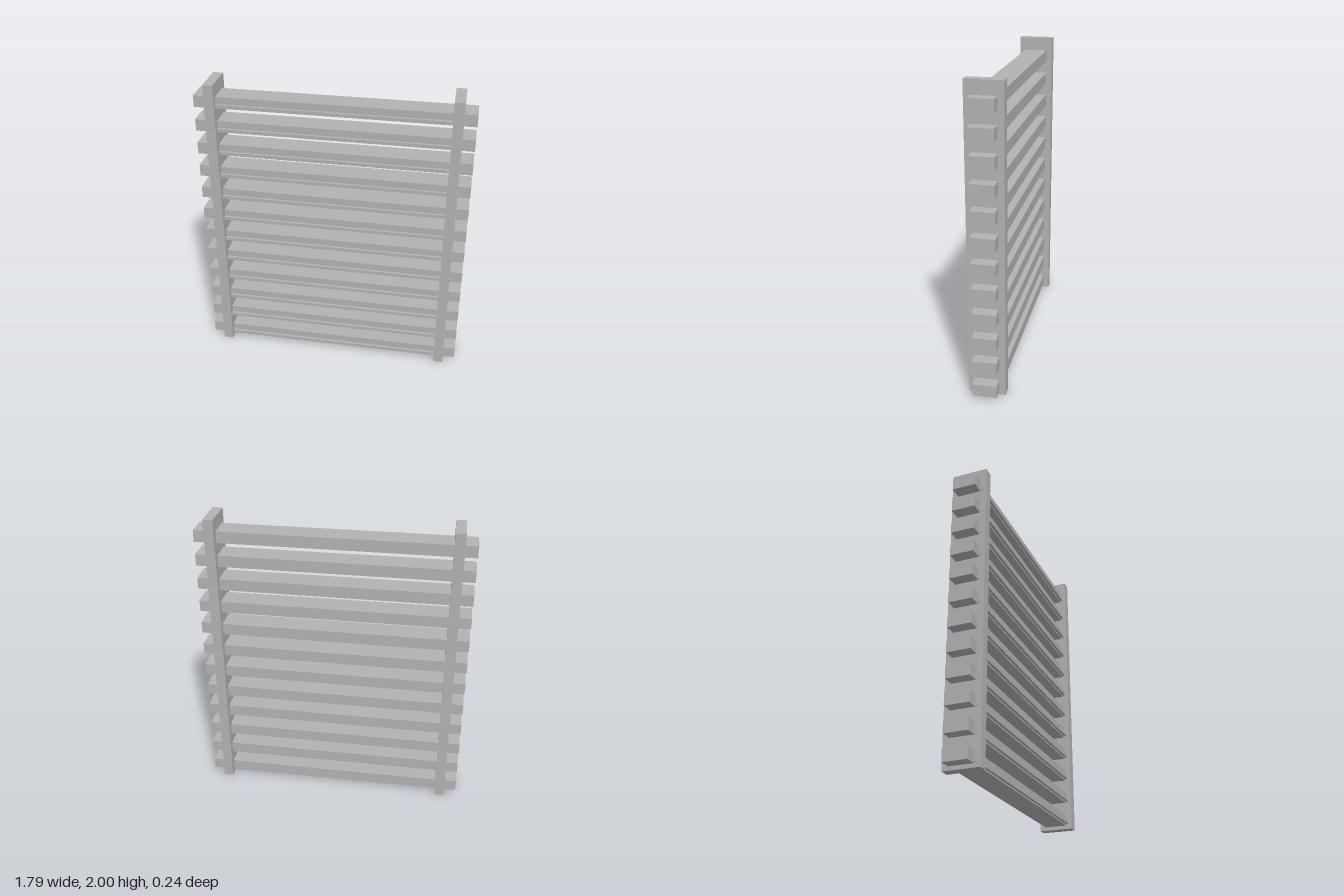
import * as THREE from 'three';

export function createModel() {
  const model = new THREE.Group();
  const grey = new THREE.MeshStandardMaterial({ color: 0xb2b2b2 });
  grey.name = 'grey';

  function box(name, w, h, d, x, y, z) {
    const mesh = new THREE.Mesh(new THREE.BoxGeometry(w, h, d), grey);
    mesh.name = name;
    mesh.position.set(x, y, z);
    model.add(mesh);
  }

  // Two upright posts
  box('leftPost', 0.066, 2, 0.236, 0.781, 1, 0);
  box('rightPost', 0.066, 2, 0.236, -0.781, 1, 0);

  // Twelve slats through the posts, each with a thin lip along its front
  const count = 12, first = 0.064, spacing = 0.1644;
  for (let i = 0; i < count; i++) {
    const y = first + i * spacing;
    box('slat', 1.79, 0.078, 0.156, 0, y, 0);
    box('slatLip', 1.636, 0.022, 0.03, 0, y - 0.019, 0.081);
  }
  return model;
}
